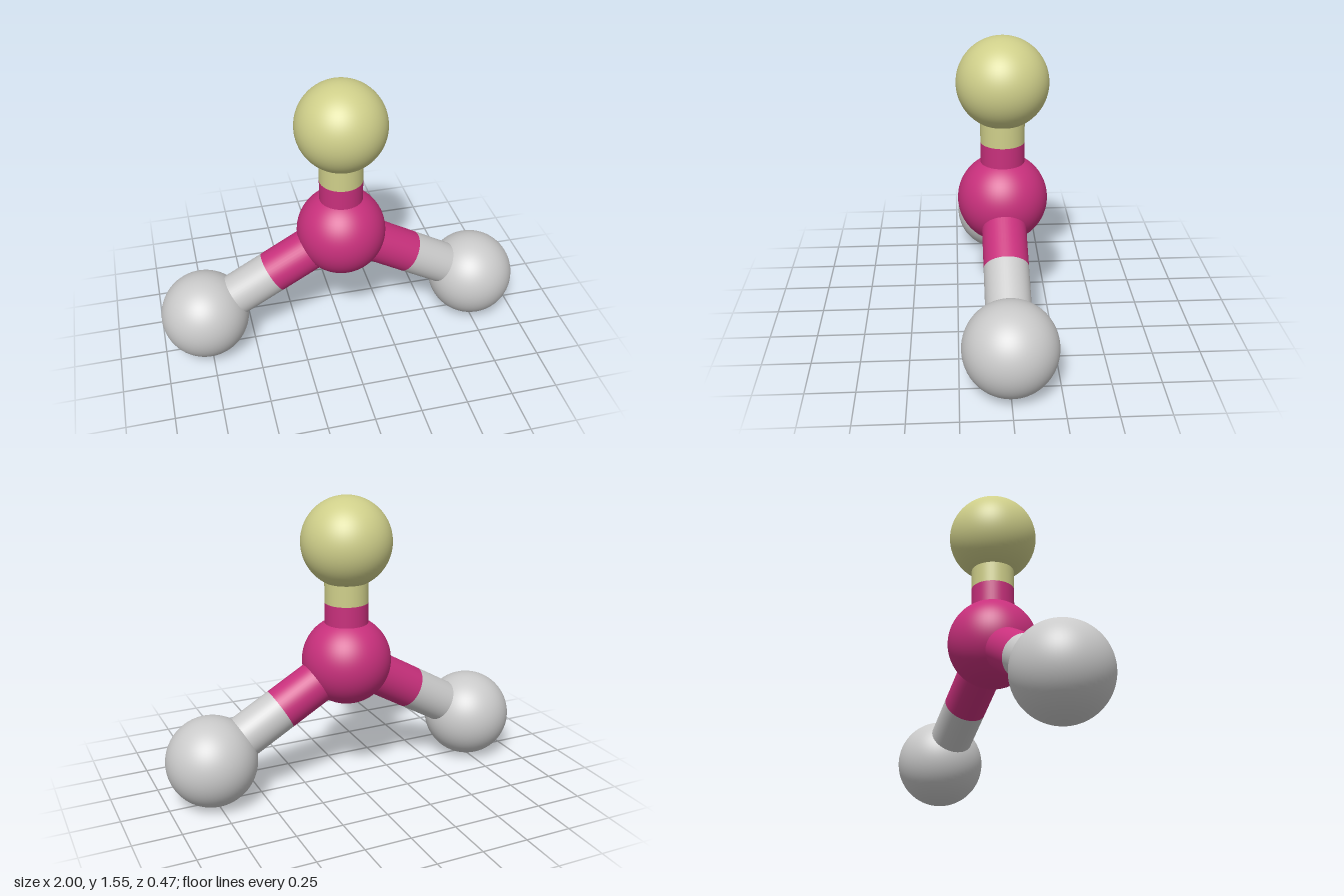
import * as THREE from 'three';

const BALL_RADIUS = 0.237;
const ROD_RADIUS = 0.115;

function material(name, color) {
  const m = new THREE.MeshStandardMaterial({ color });
  m.name = name;
  return m;
}

export function createModel() {
  const model = new THREE.Group();
  model.name = 'ballAndStickModel';

  const magenta = material('magenta', 0xc8307c);
  const paleYellow = material('paleYellow', 0xcfcf8a);
  const lightGrey = material('lightGrey', 0xcacaca);

  const ballGeometry = new THREE.SphereGeometry(BALL_RADIUS, 64, 40);

  function addBall(name, position, mat) {
    const ball = new THREE.Mesh(ballGeometry, mat);
    ball.name = name;
    ball.position.copy(position);
    model.add(ball);
  }

  // Open cylinder whose ends are buried in the balls or meet another rod half
  function addRod(name, from, to, mat) {
    const direction = to.clone().sub(from);
    const geometry = new THREE.CylinderGeometry(ROD_RADIUS, ROD_RADIUS, direction.length(), 48, 1, true);
    const rod = new THREE.Mesh(geometry, mat);
    rod.name = name;
    rod.position.copy(from).lerp(to, 0.5);
    rod.quaternion.setFromUnitVectors(new THREE.Vector3(0, 1, 0), direction.normalize());
    model.add(rod);
  }

  // Central ball
  const centre = new THREE.Vector3(0, 0.68, 0);
  addBall('centreBall', centre, magenta);

  // Outer balls, each joined by a rod that changes colour halfway
  const arms = [
    ['top', new THREE.Vector3(0, 1.317, 0), paleYellow],
    ['left', new THREE.Vector3(0.763, 0.239, 0), lightGrey],
    ['right', new THREE.Vector3(-0.763, 0.239, 0), lightGrey],
  ];
  for (const [side, position, mat] of arms) {
    const middle = centre.clone().lerp(position, 0.5);
    addBall(side + 'Ball', position, mat);
    addRod(side + 'RodInner', centre, middle, magenta);
    addRod(side + 'RodOuter', middle, position, mat);
  }

  return model;
}
